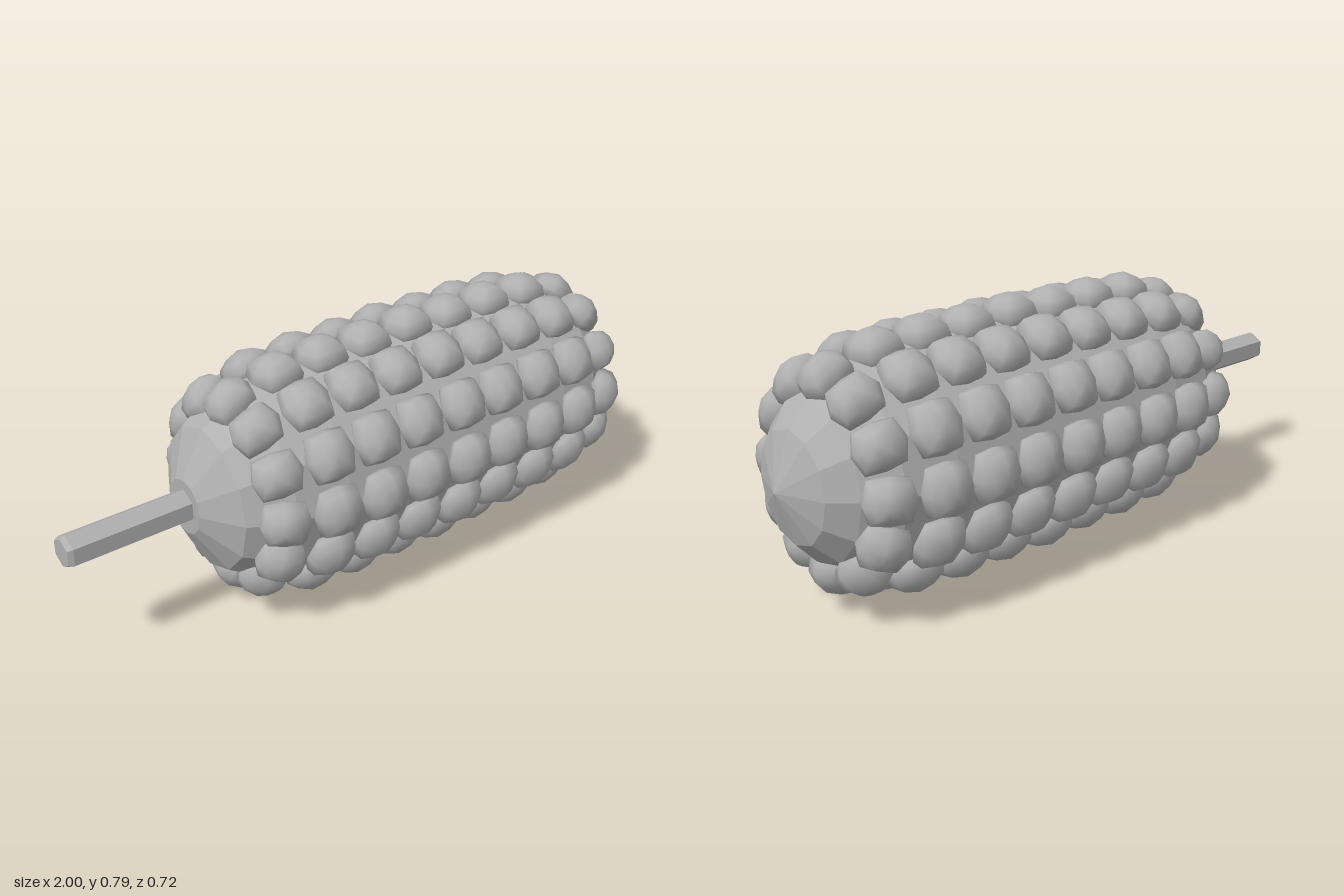
import * as THREE from 'three';

const AXIS_HEIGHT = 0.395, MIDDLE = 0.185, SIDES = 12;

// Pillow-shaped kernel: rounded-square rings stacked along y up to an apex.
function kernelGeometry() {
  const outline = [[0.077, 0], [0.058, 0.068], [0, 0.076], [-0.058, 0.068],
    [-0.077, 0], [-0.058, -0.068], [0, -0.076], [0.058, -0.068]];
  const rings = [[-0.035, 0.86], [0, 1], [0.032, 0.87], [0.053, 0.5]];
  const n = outline.length, pos = [], index = [];
  for (const [h, s] of rings) for (const [x, z] of outline) pos.push(x * s, h, z * s);
  pos.push(0, 0.065, 0);
  const apex = rings.length * n;
  for (let j = 0; j < n; j++) {
    const k = (j + 1) % n;
    for (let r = 0; r < rings.length - 1; r++) {
      const a = r * n + j, b = r * n + k;
      index.push(a, a + n, b, b, a + n, b + n);
    }
    index.push((rings.length - 1) * n + j, apex, (rings.length - 1) * n + k);
    if (j > 0 && j < n - 1) index.push(0, j, k);
  }
  const g = new THREE.BufferGeometry();
  g.setAttribute('position', new THREE.Float32BufferAttribute(pos, 3));
  g.setIndex(index);
  g.computeVertexNormals();
  return g;
}

// Faceted copy of a geometry that was built along y, laid along x.
function facetedAlongX(geometry) {
  const g = geometry.rotateZ(-Math.PI / 2).toNonIndexed();
  g.computeVertexNormals();
  return g;
}

export function createModel() {
  const model = new THREE.Group();
  model.name = 'cornOnStick';
  const grey = new THREE.MeshStandardMaterial({ color: 0xb0b0b0 });
  grey.name = 'plain grey';

  // The cob is slightly narrower in depth than in height.
  const cob = new THREE.Group();
  cob.name = 'cob';
  cob.position.y = AXIS_HEIGHT;
  cob.scale.z = 0.91;
  model.add(cob);

  // Core, from the flat stick end to the pointed tip
  const profile = [[0, -0.62], [0.085, -0.62], [0.22, -0.55], [0.295, -0.42],
    [0.32, -0.25], [0.325, 0.185], [0.32, 0.62], [0.295, 0.78], [0.23, 0.88],
    [0.16, 0.945], [0, 1]].map(([r, x]) => new THREE.Vector2(r, x));
  const core = new THREE.Mesh(facetedAlongX(new THREE.LatheGeometry(profile, SIDES)), grey);
  core.name = 'core';
  cob.add(core);

  // Rows by distance from the middle: [offset along cob, radius, tilt, width]
  const rows = [[0, 0.328, 0, 1], [0.162, 0.322, 0, 1], [0.324, 0.322, 0.03, 1],
    [0.484, 0.313, 0.14, 1], [0.638, 0.272, 0.62, 0.87]];
  const kernel = kernelGeometry();
  for (let i = -4; i <= 4; i++) {
    const [offset, radius, tilt, width] = rows[Math.abs(i)];
    const side = Math.sign(i);
    for (let s = 0; s < SIDES; s++) {
      const spoke = new THREE.Group();
      spoke.name = 'kernelSpoke';
      spoke.rotation.x = (s / SIDES) * Math.PI * 2;
      const mesh = new THREE.Mesh(kernel, grey);
      mesh.name = 'kernel';
      mesh.position.set(MIDDLE + side * offset, radius, 0);
      mesh.rotation.z = -side * tilt;
      mesh.scale.z = width;
      spoke.add(mesh);
      cob.add(spoke);
    }
  }

  // Hexagonal stick with a small bevel at its free end
  const stickProfile = [[0, -1], [0.042, -1], [0.05, -0.985], [0.05, -0.6]]
    .map(([r, x]) => new THREE.Vector2(r, x));
  const stickGeometry = new THREE.LatheGeometry(stickProfile, 6, Math.PI / 2);
  const stick = new THREE.Mesh(facetedAlongX(stickGeometry), grey);
  stick.name = 'stick';
  stick.position.y = AXIS_HEIGHT + 0.005;
  model.add(stick);

  return model;
}
